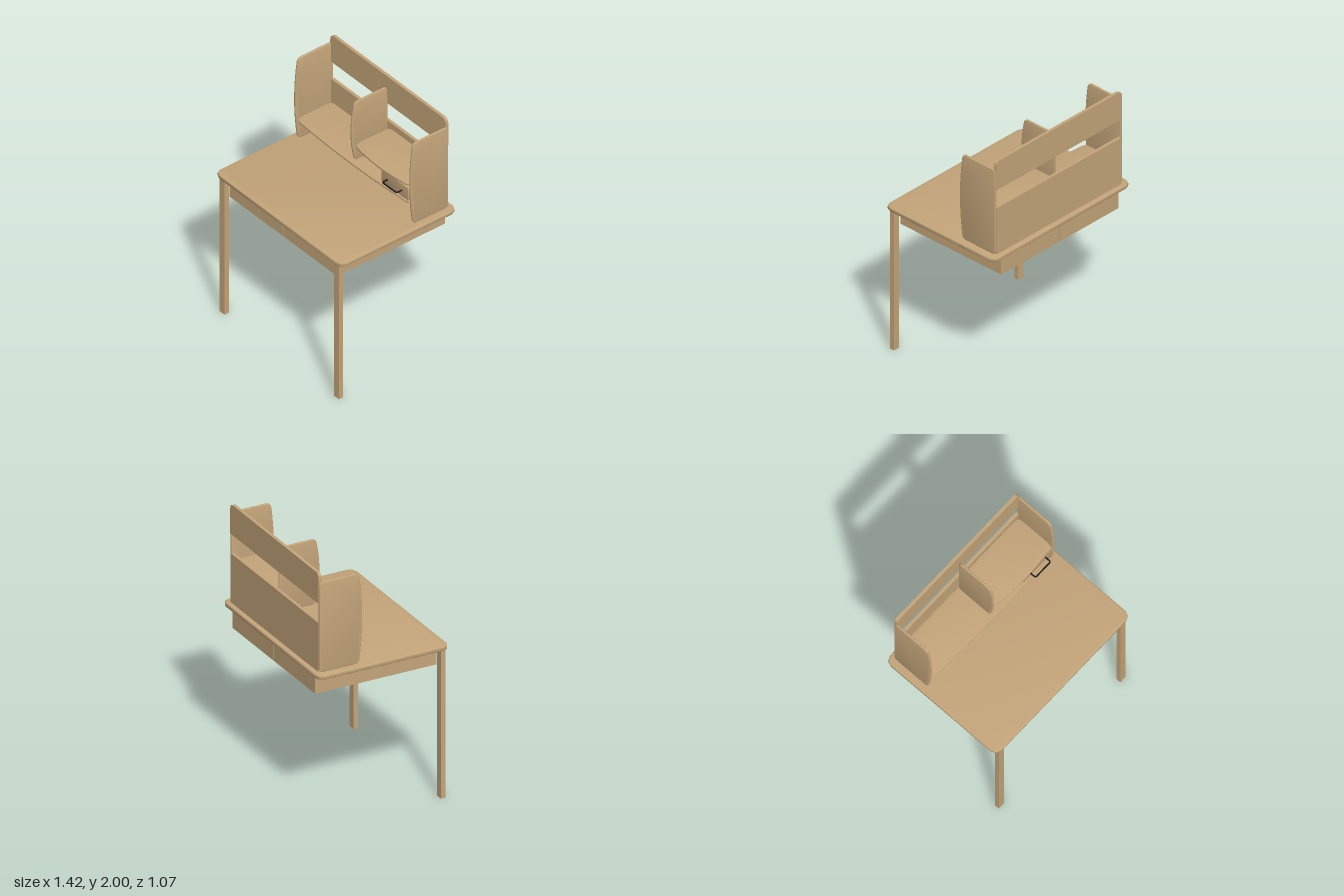
import * as THREE from 'three';
import { toCreasedNormals } from 'three/addons/utils/BufferGeometryUtils.js';

const wood = new THREE.MeshStandardMaterial({ color: 0xc4a57a });
wood.name = 'wood';
const black = new THREE.MeshStandardMaterial({ color: 0x1e1e1e });
black.name = 'blackMetal';

export function createModel() {
  const model = new THREE.Group();
  model.name = 'deskWithHutch';

  const add = (name, geometry, material = wood) => {
    const mesh = new THREE.Mesh(geometry, material);
    mesh.name = name;
    model.add(mesh);
    return mesh;
  };
  // Box given by its limits on each axis
  const box = (name, x0, x1, y0, y1, z0, z1) =>
    add(name, new THREE.BoxGeometry(x1 - x0, y1 - y0, z1 - z0))
      .position.set((x0 + x1) / 2, (y0 + y1) / 2, (z0 + z1) / 2);

  // Board with softened edges, starting at depth 0
  const board = (shape, thickness, bevel, curveSegments = 8) => {
    const g = new THREE.ExtrudeGeometry(shape, {
      depth: thickness - 2 * bevel, bevelEnabled: bevel > 0, bevelThickness: bevel,
      bevelSize: bevel, bevelOffset: -bevel, bevelSegments: 3, curveSegments,
    });
    g.translate(0, 0, bevel);
    return toCreasedNormals(g, 0.6);
  };

  // Outline from a0 to a1 along its length and b0 (back) to b1 (front), front edge bowed
  const bowed = (a0, a1, b0, b1, bulge, r, map) => {
    const m = (a0 + a1) / 2, s = bulge * 0.2, c = b1 + bulge * 1.8;
    const p = new THREE.Path();
    p.moveTo(a0 + r, b0).lineTo(a1 - r, b0);
    p.quadraticCurveTo(a1, b0, a1, b0 + r).lineTo(a1, b1 - r);
    p.quadraticCurveTo(a1, b1, a1 - r, b1 + s);
    p.quadraticCurveTo(m, c, a0 + r, b1 + s);
    p.quadraticCurveTo(a0, b1, a0, b1 - r).lineTo(a0, b0 + r);
    p.quadraticCurveTo(a0, b0, a0 + r, b0);
    const points = p.getPoints(10);
    points.pop();
    return new THREE.Shape(points.map(map));
  };
  const shelf = (name, x0, x1, y0, y1, front, bulge) => {
    const shape = bowed(x0, x1, -0.477, front, bulge, 0.045, (p) => new THREE.Vector2(p.x, -p.y));
    add(name, board(shape, y1 - y0, 0.006).rotateX(-Math.PI / 2)).position.y = y0;
  };
  const upright = (name, x0, x1, y0, y1, back, front, bulge) => {
    const shape = bowed(y0, y1, back, front, bulge, 0.035, (p) => new THREE.Vector2(-p.y, p.x));
    add(name, board(shape, x1 - x0, 0.005).rotateY(Math.PI / 2)).position.x = x0;
  };

  // Desk top with clipped round corners
  const w = 0.712, d = 0.533, r = 0.053, t = 0.016;
  const top = [];
  for (const [sx, sy, swap] of [[1, 1, 0], [-1, 1, 1], [-1, -1, 0], [1, -1, 1]]) {
    const corner = [[w, d - r], [w - t, d - t], [w - r, d]];
    if (swap) corner.reverse();
    corner.forEach(([x, y]) => top.push(new THREE.Vector2(sx * x, sy * y)));
  }
  add('deskTop', board(new THREE.Shape(top), 0.035, 0.009).rotateX(-Math.PI / 2))
    .position.y = 1.185;

  // Front legs, under-top drawers and hutch sides
  for (const s of [-1, 1]) {
    const side = s > 0 ? 'left' : 'right';
    const leg = add(side + 'FrontLeg', new THREE.BoxGeometry(0.056, 1.188, 0.038));
    leg.position.set(s * 0.643, 0.594, 0.5);
    const drawer = add(side + 'Drawer', new THREE.BoxGeometry(0.605, 0.15, 0.985));
    drawer.position.set(s * 0.3045 - 0.002, 1.111, -0.012);
    const x = s * 0.648;
    upright(side + 'HutchSide', x - 0.009, x + 0.009, 1.22, 1.93, -0.495, -0.176, 0.028);
  }
  upright('hutchDivider', -0.009, 0.009, 1.411, 1.922, -0.465, -0.165, 0.028);

  // Back boards: upper one has rounded top corners
  const bw = 0.65, br = 0.045;
  const back = new THREE.Shape();
  back.moveTo(-bw, 1.762).lineTo(bw, 1.762).lineTo(bw, 2 - br);
  back.quadraticCurveTo(bw, 2, bw - br, 2).lineTo(br - bw, 2);
  back.quadraticCurveTo(-bw, 2, -bw, 2 - br);
  add('upperBackBoard', board(back, 0.024, 0)).position.z = -0.499;
  box('lowerBackBoard', -0.642, 0.642, 1.222, 1.61, -0.499, -0.475);

  // Bowed shelves
  shelf('longShelf', -0.637, 0.637, 1.392, 1.411, -0.155, 0.027);
  shelf('shortShelf', 0.015, 0.634, 1.541, 1.561, -0.155, 0.027);

  // Small drawer with a rounded face
  const x0 = 0.327, x1 = 0.633, y0 = 1.42, y1 = 1.535, fr = 0.012;
  const face = new THREE.Shape();
  face.moveTo(x0 + fr, y0).lineTo(x1 - fr, y0).quadraticCurveTo(x1, y0, x1, y0 + fr);
  face.lineTo(x1, y1 - fr).quadraticCurveTo(x1, y1, x1 - fr, y1);
  face.lineTo(x0 + fr, y1).quadraticCurveTo(x0, y1, x0, y1 - fr);
  face.lineTo(x0, y0 + fr).quadraticCurveTo(x0, y0, x0 + fr, y0);
  add('smallDrawer', board(face, 0.322, 0.004)).position.z = -0.47;

  // Bent bar handle
  const V = (x, z) => new THREE.Vector3(x, 1.476, z);
  const path = new THREE.CurvePath();
  path.add(new THREE.LineCurve3(V(0.4, -0.15), V(0.4, -0.113)));
  path.add(new THREE.QuadraticBezierCurve3(V(0.4, -0.113), V(0.4, -0.098), V(0.415, -0.098)));
  path.add(new THREE.LineCurve3(V(0.415, -0.098), V(0.545, -0.098)));
  path.add(new THREE.QuadraticBezierCurve3(V(0.545, -0.098), V(0.56, -0.098), V(0.56, -0.113)));
  path.add(new THREE.LineCurve3(V(0.56, -0.113), V(0.56, -0.15)));
  add('drawerHandle', new THREE.TubeGeometry(path, 60, 0.006, 8), black);

  return model;
}
